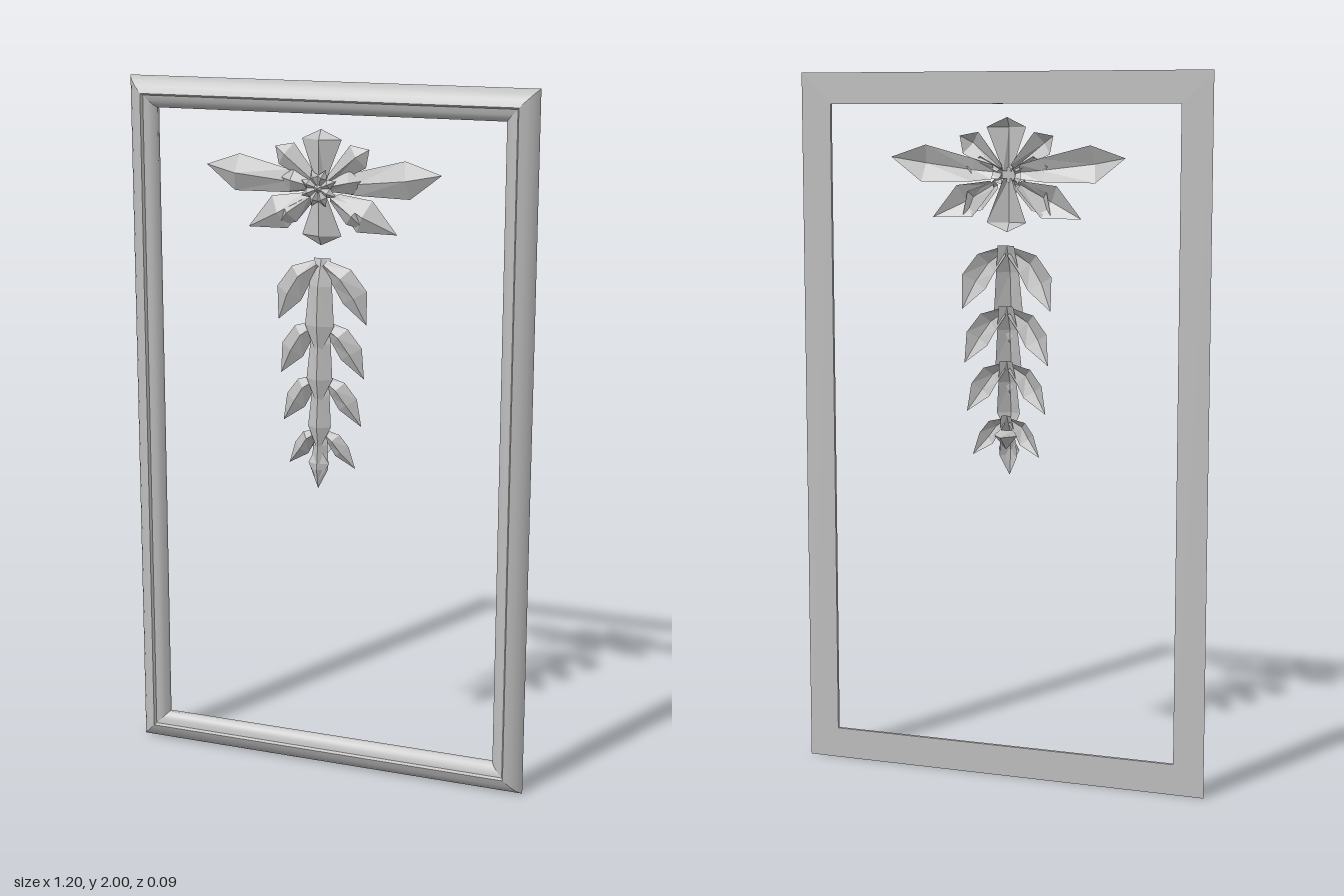
import * as THREE from 'three';

const plaster = new THREE.MeshStandardMaterial({ color: 0xbebebe, side: THREE.DoubleSide });
plaster.name = 'plaster grey';

// Indexed grid of points: rows x cols, smooth; flat = faceted
function grid(rows, flat) {
  const pos = rows.flat(2), idx = [], n = rows[0].length;
  for (let i = 0; i < rows.length - 1; i++)
    for (let j = 0; j < n - 1; j++) {
      const a = i * n + j, b = a + 1, c = a + n, d = c + 1;
      idx.push(a, c, b, b, c, d);
    }
  let g = new THREE.BufferGeometry();
  g.setAttribute('position', new THREE.Float32BufferAttribute(pos, 3));
  g.setIndex(idx);
  if (flat) g = g.toNonIndexed();
  g.computeVertexNormals();
  return g;
}

// Ridged leaf along a path; each point is [x, y, halfWidth, ridgeZ, edgeZ]
function leaf(name, path, parent, mirror = 1) {
  const rows = path.map(([x, y, w, zr, ze], i) => {
    const p = path[Math.max(i - 1, 0)], q = path[Math.min(i + 1, path.length - 1)];
    const dx = q[0] - p[0], dy = q[1] - p[1], l = Math.hypot(dx, dy);
    const nx = -dy / l * w, ny = dx / l * w;
    const row = [[x + nx, y + ny, ze], [x, y, zr], [x - nx, y - ny, ze]];
    if (mirror < 0) row.reverse();
    return row.map(([a, b, c]) => [a * mirror, b, c]);
  });
  // wind every leaf so its outward side is +z
  const m = new THREE.Mesh(grid(rows.map(r => r.reverse()).reverse(), true), plaster);
  m.name = name;
  parent.add(m);
}

// Straight leaf from a centre at an angle; each point is [distance, halfWidth, ridgeZ, edgeZ]
function ray(name, cx, cy, angle, pts, parent) {
  leaf(name, pts.map(([d, ...r]) => [cx + Math.cos(angle) * d, cy + Math.sin(angle) * d, ...r]), parent);
}

// Mitred moulding: the profile [inset, z] swept round the rectangle, one strip per side
function makeFrame() {
  const frame = new THREE.Group();
  frame.name = 'frame';
  const profiles = {
    outerMoulding: [[0, -0.04], [0.004, -0.032], [0.013, -0.02], [0.028, -0.008], [0.048, 0]],
    innerLip: [[0.048, 0], [0.053, -0.008]],
    innerCove: [[0.053, -0.008], [0.068, -0.011], [0.08, -0.018], [0.088, -0.03]],
    innerEdge: [[0.088, -0.03], [0.088, -0.04]],
    back: [[0.088, -0.04], [0, -0.04]],
  };
  const corners = [[-1, -1], [1, -1], [1, 1], [-1, 1]];
  for (const [name, prof] of Object.entries(profiles))
    corners.forEach((c, k) => {
      const d = corners[(k + 1) % 4];
      const rows = [c, d].map(([sx, sy]) =>
        prof.map(([i, z]) => [sx * (0.6 - i), 1 + sy * (1 - i), z]));
      const m = new THREE.Mesh(grid(rows), plaster);
      m.name = name;
      frame.add(m);
    });
  return frame;
}

function makeFlower() {
  const flower = new THREE.Group();
  flower.name = 'flower';
  const cy = 1.717, deg = Math.PI / 180;
  for (const s of [1, -1]) {
    // long side leaves
    leaf('sideLeaf', [[0.04, 1.725, 0.02, 0.012, 0], [0.1, 1.73, 0.032, 0.012, 0.002],
      [0.25, 1.748, 0.052, 0.033, 0.01], [0.345, 1.765, 0, 0.005, 0.005]], flower, s);
    // lower diagonal leaves
    leaf('lowerLeaf', [[0.04, 1.69, 0.012, 0.012, 0], [0.125, 1.643, 0.05, 0.028, 0.006],
      [0.22, 1.597, 0, 0.005, 0.005]], flower, s);
    leaf('innerLowerLeaf', [[0.03, 1.69, 0.012, 0.02, 0.005], [0.095, 1.645, 0.034, 0.032, 0.01],
      [0.13, 1.605, 0, 0.008, 0.008]], flower, s);
    // upper diagonal petals
    leaf('upperPetal', [[0.02, 1.735, 0.012, 0.018, 0.005], [0.105, 1.805, 0.038, 0.025, 0.004],
      [0.138, 1.825, 0, 0.005, 0.005]], flower, s);
    // short side petals
    leaf('shortPetal', [[0.02, 1.72, 0.014, 0.025, 0.01], [0.085, 1.735, 0.034, 0.03, 0.008],
      [0.12, 1.74, 0, 0.01, 0.01]], flower, s);
    // upright petals
    ray('uprightPetal', 0, cy, s * 90 * deg, [[0.01, 0.012, 0.03, 0.015],
      [0.132, 0.058, 0.03, 0.006], [0.159, 0, 0.012, 0.012]], flower);
  }
  // small pointed star in the middle
  for (let i = 0; i < 8; i++)
    ray('starPetal', 0, cy, (i + 0.5) * 45 * deg, [[0.003, 0.004, 0.034, 0.03],
      [0.032, 0.014, 0.048, 0.032], [0.055, 0, 0.03, 0.03]], flower);
  const boss = new THREE.Mesh(new THREE.ConeGeometry(0.022, 0.022, 6).toNonIndexed(), plaster);
  boss.geometry.computeVertexNormals();
  boss.rotation.x = Math.PI / 2;
  boss.position.set(0, cy, 0.036);
  boss.name = 'flowerCentre';
  flower.add(boss);
  return flower;
}

function makeGarland() {
  const garland = new THREE.Group();
  garland.name = 'garland';
  // tiers: top height and scale
  const tiers = [[1.515, 1], [1.345, 0.9], [1.19, 0.8], [1.035, 0.62]];
  tiers.forEach(([y, k], i) => {
    for (const s of [1, -1])
      leaf('garlandSideLeaf', [[0.01, y - 0.01, 0.014 * k, 0.022, 0.008],
        [0.062 * k, y - 0.045 * k, 0.036 * k, 0.03, 0.01],
        [0.098 * k, y - 0.098 * k, 0.04 * k, 0.022, 0.006],
        [0.132 * k + 0.006 * i, y - 0.175 * k, 0, 0.003, 0.003]], garland, s);
    leaf('garlandCentreLeaf', [[0, y + 0.006, 0.024 * k, 0.01, 0.002],
      [0, y - 0.07 * k, 0.034 * k, 0.038, 0.016],
      [0, y - 0.18 * k, 0.043 * k, 0.047, 0.024],
      [0, y - 0.27 * k, 0, 0.034, 0.034]], garland);
  });
  // bottom tip leaf and the small bud behind it
  leaf('tipLeaf', [[0, 0.99, 0.012, 0.03, 0.012], [0, 0.94, 0.031, 0.042, 0.03],
    [0, 0.885, 0, 0.038, 0.038]], garland);
  leaf('backBud', [[0, 1.0, 0.02, 0.0, 0.01], [0, 0.985, 0.034, -0.045, 0.0],
    [0, 0.945, 0, 0.005, 0.005]], garland);
  return garland;
}

export function createModel() {
  const model = new THREE.Group();
  model.name = 'ornamentalPanel';
  model.add(makeFrame(), makeFlower(), makeGarland());
  return model;
}
